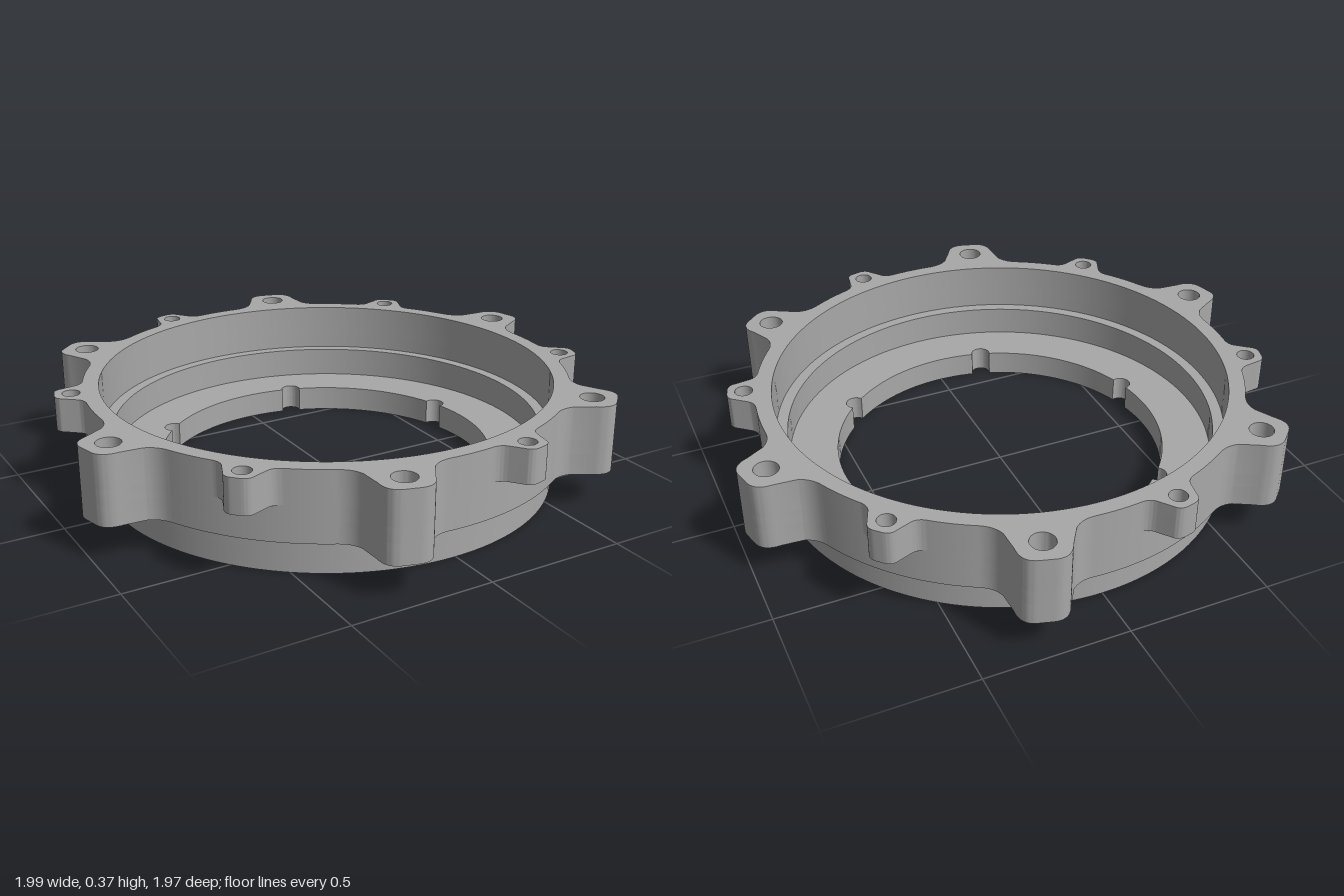
import * as THREE from 'three';
import { toCreasedNormals } from 'three/addons/utils/BufferGeometryUtils.js';

const BODY = 0.857;                 // flange radius between the lugs
const STEP = Math.PI / 3;           // six-fold symmetry
const LARGE = THREE.MathUtils.degToRad(13.8);
const SMALL = THREE.MathUtils.degToRad(-16.2);
const BOLT = THREE.MathUtils.degToRad(-1);

// Half profiles of the lugs as [sideways, outward]: fillet end, flank top, corner control, tip
const largeLug = { angle: LARGE, foot: 0.18, bend: [0.132, 0.848], low: [0.11, 0.885], high: [0.088, 0.955], corner: [0.078, 1.018], tip: [0.025, 1.018] };
const smallLug = { angle: SMALL, foot: 0.11, bend: [0.08, 0.855], low: [0.07, 0.88], high: [0.05, 0.925], corner: [0.042, 0.952], tip: [0.012, 0.952] };

const polar = (r, a) => [r * Math.cos(a), r * Math.sin(a)];

function circlePath(path, r) {
  for (let k = 0; k < 6; k++) path.absarc(0, 0, r, k * STEP, (k + 1) * STEP);
  return path;
}

// Flange outline: body arcs joined by filleted, rounded lugs
function lugOutline(kinds) {
  const shape = new THREE.Shape();
  const lugs = [];
  for (let k = 0; k < 6; k++) for (const kind of kinds) lugs.push({ ...kind, angle: kind.angle + k * STEP });
  lugs.sort((a, b) => a.angle - b.angle);
  lugs.forEach((lug, i) => {
    const c = Math.cos(lug.angle), s = Math.sin(lug.angle);
    const at = ([t, u], side) => [u * c - side * t * s, u * s + side * t * c];
    const foot = [lug.foot, Math.sqrt(BODY * BODY - lug.foot * lug.foot)];
    const half = Math.asin(lug.foot / BODY);
    if (i === 0) shape.moveTo(...at(foot, -1));
    shape.quadraticCurveTo(...at(lug.bend, -1), ...at(lug.low, -1));
    shape.lineTo(...at(lug.high, -1));
    shape.quadraticCurveTo(...at(lug.corner, -1), ...at(lug.tip, -1));
    shape.lineTo(...at(lug.tip, 1));
    shape.quadraticCurveTo(...at(lug.corner, 1), ...at(lug.high, 1));
    shape.lineTo(...at(lug.low, 1));
    shape.quadraticCurveTo(...at(lug.bend, 1), ...at(foot, 1));
    const next = lugs[(i + 1) % lugs.length];
    const end = next.angle + (i === lugs.length - 1 ? 2 * Math.PI : 0) - Math.asin(next.foot / BODY);
    shape.absarc(0, 0, BODY, lug.angle + half, end);
  });
  return shape;
}

// Central bore with six round notches
function notchedBore() {
  const path = new THREE.Path();
  const half = 0.0588, sweep = Math.PI / 2 + 0.14;
  for (let k = 0; k < 6; k++) {
    const a = LARGE + k * STEP;
    path.absarc(...polar(0.595, a), 0.035, a - sweep, a + sweep);
    path.absarc(0, 0, 0.59, a + half, a + STEP - half);
  }
  return path;
}

// Six round holes on a pitch circle
function holeCircle(pitch, radius, phase) {
  return Array.from({ length: 6 }, (_, k) =>
    new THREE.Path().absarc(...polar(pitch, phase + k * STEP), radius, 0, 2 * Math.PI));
}

export function createModel() {
  const group = new THREE.Group();
  const metal = new THREE.MeshStandardMaterial({ color: 0xa8a8a8 });
  metal.name = 'grey metal';

  // Horizontal slab between two heights
  function layer(name, shape, holes, y0, y1) {
    shape.holes.push(...holes);
    let geo = new THREE.ExtrudeGeometry(shape, { depth: y1 - y0, bevelEnabled: false, curveSegments: 12 });
    geo.rotateX(-Math.PI / 2);
    geo = toCreasedNormals(geo, 0.5);
    const mesh = new THREE.Mesh(geo, metal);
    mesh.name = name;
    mesh.position.y = y0;
    group.add(mesh);
  }
  const disc = () => circlePath(new THREE.Shape(), 0.81);
  const inner = r => circlePath(new THREE.Path(), r);
  const largeHoles = () => holeCircle(0.934, 0.042, LARGE);
  const smallHoles = () => holeCircle(0.895, 0.031, SMALL);

  // Base with blind bolt holes underneath, then the floor and recess wall
  layer('baseUnderside', disc(), [notchedBore(), ...holeCircle(0.675, 0.032, BOLT)], 0, 0.05);
  layer('baseFloor', disc(), [notchedBore()], 0.05, 0.092);
  layer('recessWall', disc(), [inner(0.76)], 0.092, 0.125);

  // Flange: large lugs run its full height, small lugs only the upper half
  layer('flangeLedge', lugOutline([largeLug]), [inner(0.76), ...largeHoles()], 0.125, 0.2);
  layer('flangeMiddle', lugOutline([largeLug]), [inner(0.8), ...largeHoles()], 0.2, 0.25);
  layer('flangeTop', lugOutline([largeLug, smallLug]), [inner(0.8), ...largeHoles(), ...smallHoles()], 0.25, 0.37);

  return group;
}
